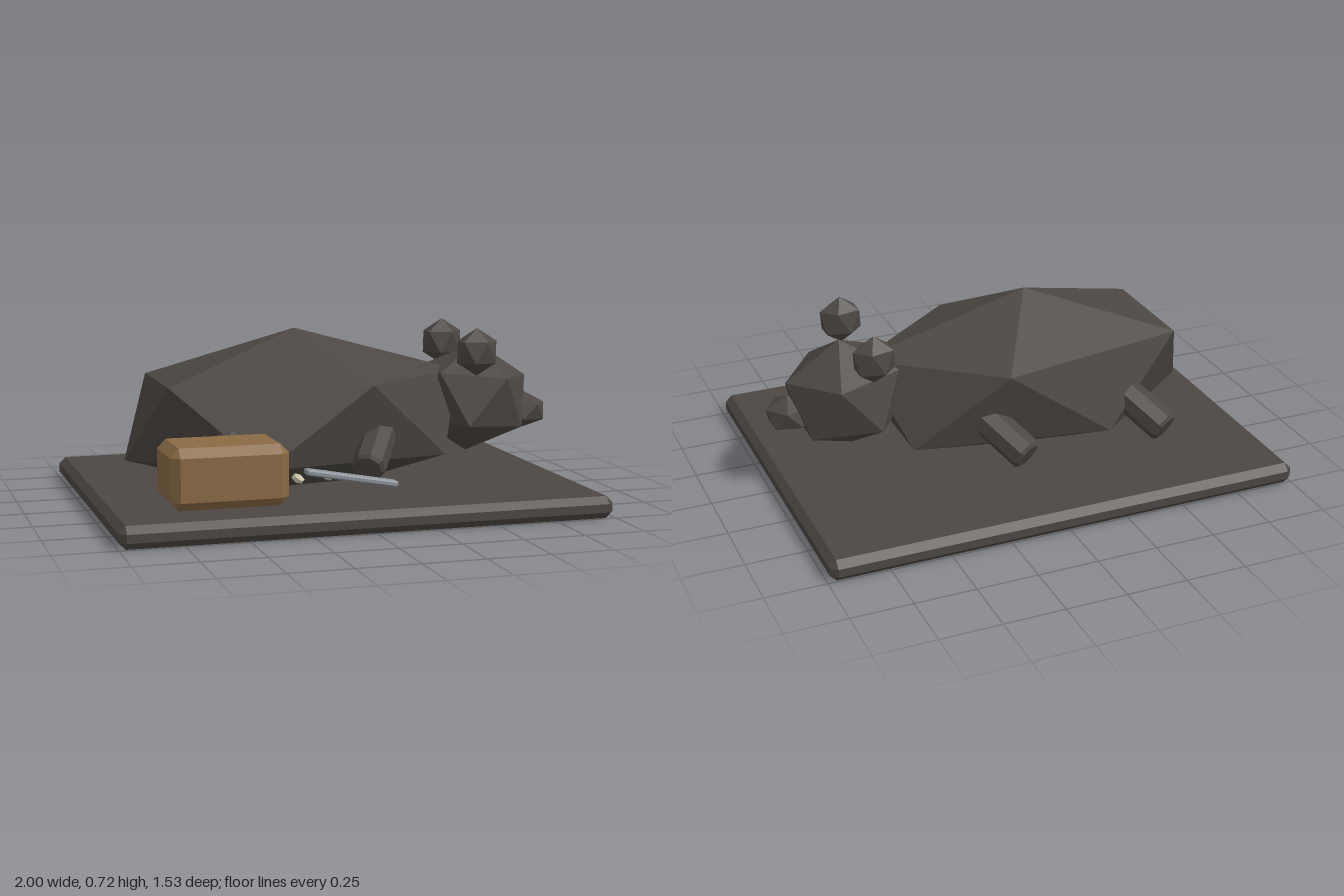
import * as THREE from 'three';
import { ConvexGeometry } from 'three/addons/geometries/ConvexGeometry.js';

const mat = (color) => new THREE.MeshStandardMaterial({ color, flatShading: true });

// Box with every edge and corner cut flat
function chamferBox(w, h, d, c) {
  const points = [];
  for (const x of [-1, 1]) for (const y of [-1, 1]) for (const z of [-1, 1]) {
    const corner = new THREE.Vector3(x * w / 2, y * h / 2, z * d / 2);
    const inset = new THREE.Vector3(x * c, y * c, z * c);
    for (const axis of ['x', 'y', 'z']) {
      const p = corner.clone().sub(inset);
      p[axis] = corner[axis];
      points.push(p);
    }
  }
  return new ConvexGeometry(points);
}

// Icosahedron standing on a vertex, with an upper ring vertex facing +x
function ico(rx, ry, rz) {
  const g = new THREE.IcosahedronGeometry(1, 0);
  g.rotateZ(-Math.atan(2 / (1 + Math.sqrt(5))));
  return g.scale(rx, ry, rz);
}

export function createModel() {
  const model = new THREE.Group();
  const fur = mat(0x4c4743), wood = mat(0x8a6a45), steel = mat(0x8c9299), bone = mat(0xd2cbb2);

  const add = (name, geometry, material, x, y, z, tilt = 0) => {
    const mesh = new THREE.Mesh(geometry, material);
    mesh.name = name;
    mesh.position.set(x, y, z);
    mesh.rotation.z = tilt;
    model.add(mesh);
    return mesh;
  };

  // Ground slab
  add('base', chamferBox(1.99, 0.09, 1.535, 0.028), fur, -0.005, 0.045, -0.002);

  // Animal: body, head, snout and ears
  add('body', ico(0.805, 0.36, 0.459), fur, -0.12, 0.36, 0);
  add('head', ico(0.27, 0.235, 0.252), fur, 0.67, 0.4, -0.012, -0.085);
  add('snout', ico(0.105, 0.078, 0.108), fur, 0.902, 0.337, 0.017, -0.06);
  for (const side of [1, -1]) {
    add(side > 0 ? 'leftEar' : 'rightEar', ico(0.097, 0.1, 0.072), fur, 0.61, 0.618, side * 0.21);
  }

  // Legs: eight-sided stubs with chamfered ends, splayed outwards and back
  const r = 0.07, bevel = 0.013;
  for (const [name, shift] of [['frontLeg', 0], ['hindLeg', -0.62]]) {
    for (const side of [1, -1]) {
      const tip = new THREE.Vector3(0.055 + shift, 0.195, side * 0.455);
      const root = new THREE.Vector3(0.175 + shift, 0.315, side * 0.26);
      const axis = tip.clone().sub(root);
      const h = axis.length() / 2;
      const profile = [[0, -h], [r - bevel, -h], [r, bevel - h], [r, h - bevel], [r - bevel, h], [0, h]]
        .map(([x, y]) => new THREE.Vector2(x, y));
      const mid = tip.add(root).multiplyScalar(0.5);
      const leg = add(name, new THREE.LatheGeometry(profile, 8), fur, mid.x, mid.y, mid.z);
      leg.quaternion.setFromUnitVectors(new THREE.Vector3(0, 1, 0), axis.normalize());
    }
  }

  // Wooden crate
  add('crate', chamferBox(0.465, 0.24, 0.305, 0.035), wood, -0.548, 0.227, 0.503);

  // Leaning metal bar and two loose claws
  add('bar', chamferBox(0.38, 0.024, 0.054, 0.006), steel, -0.045, 0.186, 0.556, -0.18);
  for (const [x, y] of [[-0.235, 0.175], [-0.115, 0.182]]) {
    add('claw', ico(0.022, 0.058, 0.02).rotateX(Math.PI / 2), bone, x, y, 0.462);
  }
  return model;
}
